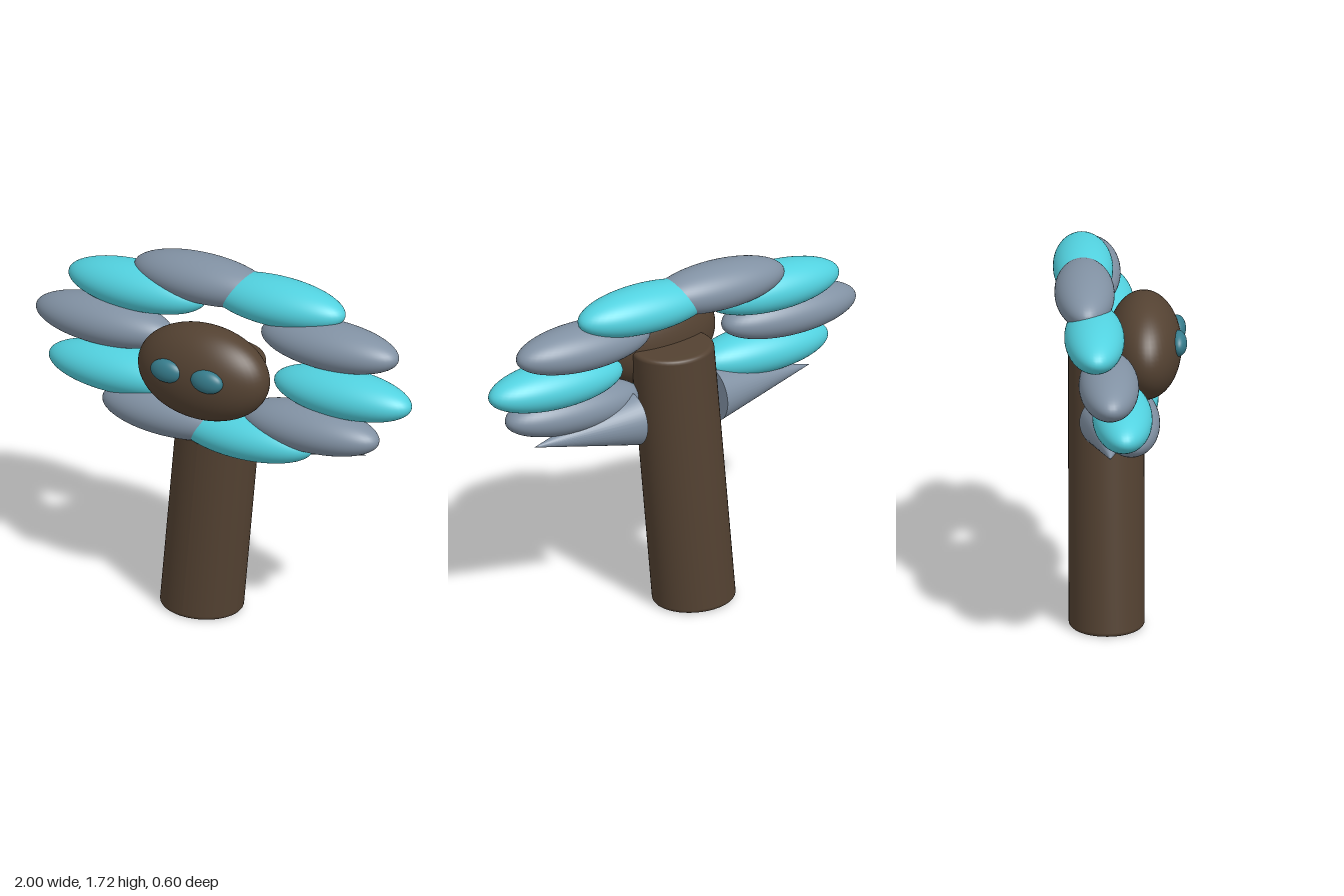
import * as THREE from 'three';

const mat = (color) => new THREE.MeshStandardMaterial({ color });

export function createModel() {
  const model = new THREE.Group();
  const brown = mat(0x544232), cyan = mat(0x52d2e0), grey = mat(0x8292a4), teal = mat(0x367c8c);
  const ball = new THREE.SphereGeometry(1, 48, 32);

  const add = (name, geometry, material, position) => {
    const mesh = new THREE.Mesh(geometry, material);
    mesh.name = name;
    mesh.position.set(...position);
    model.add(mesh);
    return mesh;
  };
  const ellipsoid = (name, material, position, radii, tilt = 0) => {
    const mesh = add(name, ball, material, position);
    mesh.scale.set(...radii);
    mesh.rotation.z = tilt;
  };

  // Stem: oval column with softened rims, sheared so it leans while its ends stay level
  const H = 1.31, b = 0.02;
  const profile = [new THREE.Vector2(0, 0)];
  for (let i = 0; i <= 4; i++) {
    const a = (i / 4) * Math.PI / 2;
    profile.push(new THREE.Vector2(1 - 0.1 + 0.1 * Math.sin(a), b - b * Math.cos(a)));
  }
  for (let i = 0; i <= 4; i++) {
    const a = (i / 4) * Math.PI / 2;
    profile.push(new THREE.Vector2(1 - 0.1 + 0.1 * Math.cos(a), H - b + b * Math.sin(a)));
  }
  profile.push(new THREE.Vector2(0, H));
  const stem = new THREE.LatheGeometry(profile, 48);
  stem.scale(0.198, 1, 0.173);
  stem.computeVertexNormals();
  stem.applyMatrix4(new THREE.Matrix4().makeShear(0, 0, 0.092, 0, 0, 0).identity()
    .set(1, 0.092, 0, 0, 0, 1, 0, 0, 0, 0, 1, 0, 0, 0, 0, 1));
  add('stem', stem, brown, [-0.12, 0, -0.062]);

  // Flower centre and eyes
  ellipsoid('flowerCentre', brown, [0, 1.298, 0.112], [0.338, 0.232, 0.17], 0.08);
  ellipsoid('rightEye', teal, [-0.106, 1.339, 0.264], [0.083, 0.056, 0.04], 0.06);
  ellipsoid('leftEye', teal, [0.109, 1.341, 0.264], [0.083, 0.056, 0.04], 0.06);

  // Ten petals on a backward-leaning oval ring, alternating colours
  for (let i = 0; i < 10; i++) {
    const a = THREE.MathUtils.degToRad(36 * i - 2);
    ellipsoid('petal' + (i + 1), i % 2 ? grey : cyan,
      [0.64 * Math.cos(a), 1.3 + 0.317 * Math.sin(a), -0.06 - 0.108 * Math.sin(a)],
      [0.36, 0.11, 0.137], 0.04);
  }

  // Pointed leaves behind the lower petals, tips outward
  for (const s of [-1, 1]) {
    const leaf = add(s > 0 ? 'leftLeaf' : 'rightLeaf',
      new THREE.ConeGeometry(0.128, 0.54, 40), grey, [s * 0.49, 1.0, -0.06]);
    leaf.rotation.z = -s * Math.PI / 2;
  }

  return model;
}
